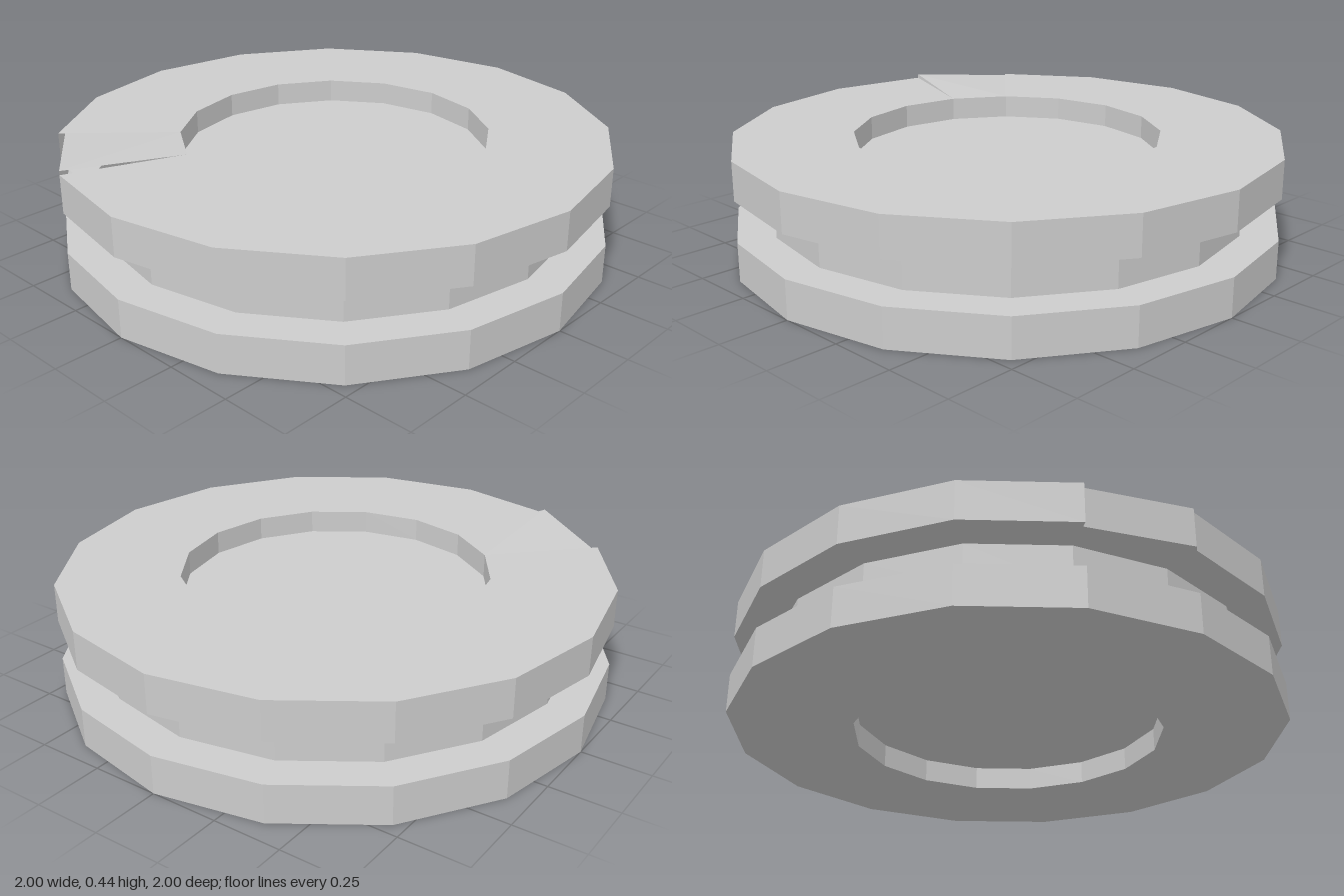
import * as THREE from 'three';

const SIDES = 16;
const STEP = (Math.PI * 2) / SIDES;

// Half cross-section from the underside centre, round the rims and groove, to the top centre
const PROFILE = [
  [0, 0.085], [0.56, 0.085], [0.56, 0], [1, 0],
  [1, 0.14], [0.865, 0.14], [0.865, 0.29], [1, 0.29],
  [1, 0.43], [0.56, 0.43], [0.56, 0.345], [0, 0.345],
].map(([r, y]) => new THREE.Vector2(r, y));
const RIM_LOW = 7, RIM_TOP = 8;

export function createModel() {
  const group = new THREE.Group();
  group.name = 'groovedWheel';
  const grey = new THREE.MeshStandardMaterial({ color: 0xcccccc, flatShading: true, side: THREE.DoubleSide });
  grey.name = 'grey';

  const addSector = (name, start, count) => {
    const geometry = new THREE.LatheGeometry(PROFILE, count, start * STEP, count * STEP);
    const mesh = new THREE.Mesh(geometry, grey);
    mesh.name = name;
    group.add(mesh);
    return geometry;
  };

  // Fifteen regular sectors of the wheel
  addSector('wheelBody', -1, SIDES - 1);

  // Last sector, with its upper rim slightly warped: one end pulled in, the other lifted
  const warped = addSector('warpedSector', -2, 1);
  const pos = warped.attributes.position;
  for (const j of [RIM_LOW, RIM_TOP]) {
    pos.setX(j, pos.getX(j) * 0.975);
    pos.setZ(j, pos.getZ(j) * 0.975);
    const end = j + PROFILE.length;
    pos.setY(end, pos.getY(end) + 0.015);
  }
  warped.computeVertexNormals();

  return group;
}
